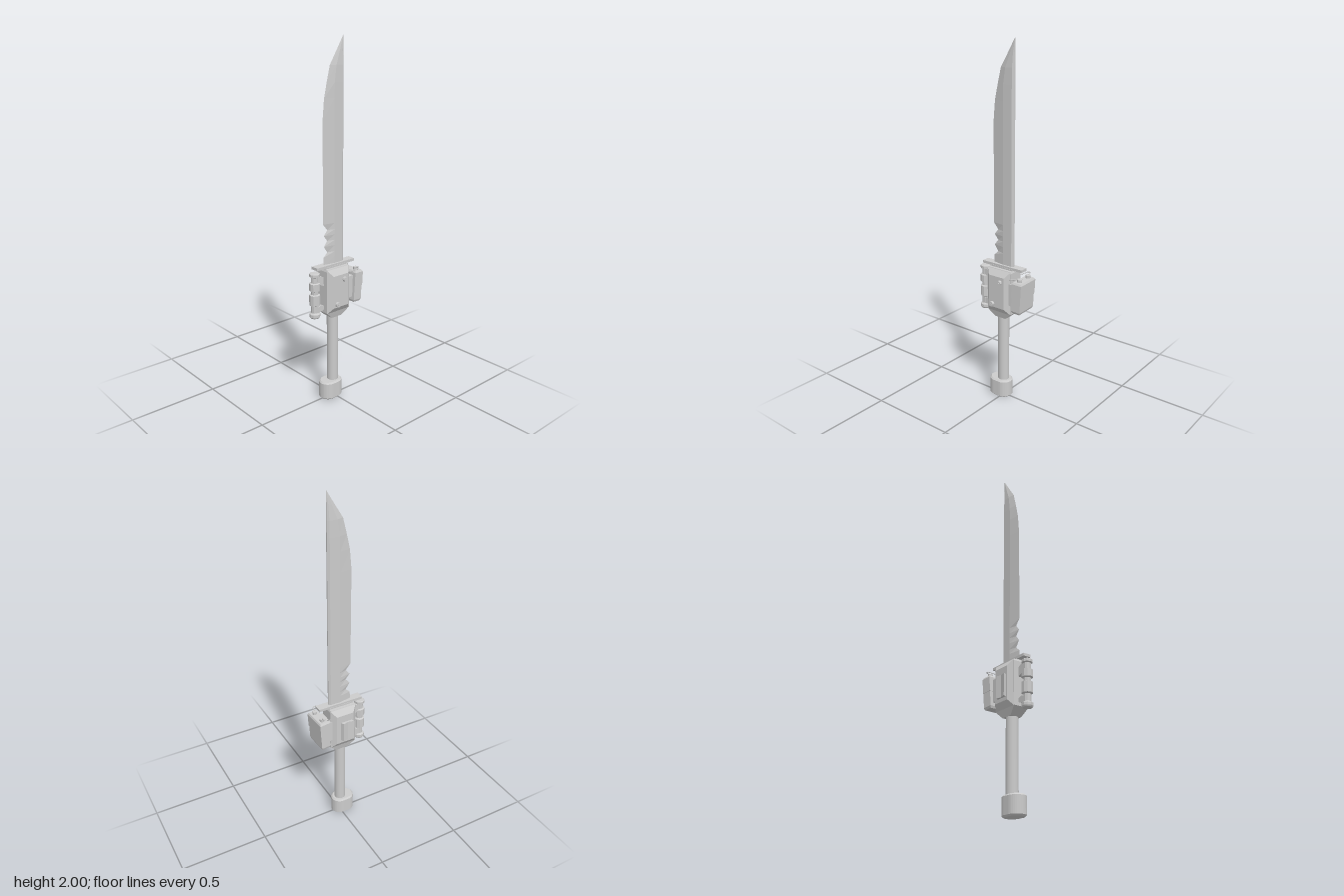
import * as THREE from 'three';

const material = new THREE.MeshStandardMaterial({ color: 0xcccccc, flatShading: true, side: THREE.DoubleSide });

// Solid skinned over equal-length rings that run anticlockwise seen from the last ring
function loft(rings) {
  const n = rings[0].length, index = [];
  for (let i = 0; i < rings.length - 1; i++) {
    for (let j = 0; j < n; j++) {
      const a = i * n + j, b = i * n + (j + 1) % n;
      index.push(a, b, b + n, a, b + n, a + n);
    }
  }
  const last = (rings.length - 1) * n;
  for (let j = 1; j < n - 1; j++) index.push(0, j + 1, j, last, last + j, last + j + 1);
  const indexed = new THREE.BufferGeometry();
  indexed.setAttribute('position', new THREE.Float32BufferAttribute(rings.flat(2), 3));
  indexed.setIndex(index);
  const geometry = indexed.toNonIndexed();
  geometry.computeVertexNormals();
  return geometry;
}

// Rectangular ring at height y with half width w and half depth d
const rect = (y, w, d) => [[-w, y, -d], [-w, y, d], [w, y, d], [w, y, -d]];

// Side profile of [z, y] points given a width across x
function sideProfile(points, width) {
  const shape = new THREE.Shape(points.map(([z, y]) => new THREE.Vector2(z, y)));
  return new THREE.ExtrudeGeometry(shape, { depth: width, bevelEnabled: false })
    .translate(0, 0, -width / 2).rotateY(-Math.PI / 2);
}

export function createModel() {
  const model = new THREE.Group();
  const add = (name, geometry, x = 0, y = 0, z = 0, parent = model) => {
    const mesh = new THREE.Mesh(geometry, material);
    mesh.name = name;
    mesh.position.set(x, y, z);
    parent.add(mesh);
    return mesh;
  };
  const smooth = (mesh) => {
    mesh.material = smoothMaterial;
    return mesh;
  };
  const smoothMaterial = material.clone();
  smoothMaterial.flatShading = false;

  // Blade: [y, cutting edge z, half thickness], notched near the guard, clipped at the tip
  const spine = -0.07;
  const stations = [
    [0.79, 0.069, 0.012], [0.845, 0.066, 0.012], [0.87, 0.04, 0.012], [0.905, 0.064, 0.012],
    [0.935, 0.04, 0.012], [0.965, 0.064, 0.012], [0.995, 0.04, 0.012], [1.03, 0.069, 0.012],
    [1.58, 0.069, 0.012], [1.69, 0.059, 0.012], [1.77, 0.041, 0.012], [1.855, 0.02, 0.011],
    [1.93, -0.027, 0.006], [2, -0.0695, 0.0005],
  ];
  add('blade', loft(stations.map(([y, edge, t]) => {
    const width = edge - spine;
    const ridge = Math.min(-0.002, spine + width * 0.6);
    const back = spine + Math.min(0.011, width * 0.2);
    return [[-t * 0.3, y, spine], [-t, y, back], [-t, y, ridge], [0, y, edge],
      [t, y, ridge], [t, y, back], [t * 0.3, y, spine]];
  })));

  // Guard and its collar
  add('guard', new THREE.BoxGeometry(0.046, 0.015, 0.268), 0, 0.796, -0.003);
  add('guardCollar', new THREE.BoxGeometry(0.05, 0.02, 0.15), 0, 0.783, 0);

  // Grip and racetrack-shaped pommel
  smooth(add('grip', new THREE.CylinderGeometry(0.032, 0.032, 0.44, 20), 0, 0.31, 0.003));
  const track = new THREE.Shape();
  track.absarc(0, 0.002, 0.042, 0, Math.PI, false);
  track.absarc(0, -0.035, 0.042, Math.PI, Math.PI * 2, false);
  add('pommel', new THREE.ExtrudeGeometry(track, {
    depth: 0.089, bevelThickness: 0.008, bevelSize: 0.008, bevelSegments: 1, curveSegments: 8,
  }).rotateX(-Math.PI / 2), 0, 0.008, 0.003);

  // Housing with tapering foot
  add('housing', loft([rect(0.495, 0.033, 0.034), rect(0.535, 0.045, 0.08),
    rect(0.775, 0.045, 0.08), rect(0.785, 0.042, 0.076)]));

  // Bevelled side panels with a raised inner plate
  for (const side of [1, -1]) {
    const panel = add(side > 0 ? 'leftPanel' : 'rightPanel',
      loft([rect(0, 0.125, 0.078), rect(0.024, 0.092, 0.052)]), side * 0.044, 0.658, 0);
    panel.rotation.z = -side * Math.PI / 2;
  }

  // Bolts on the left panel
  for (const [y, z] of [[0.72, -0.025], [0.585, 0.028]]) {
    add('bolt', new THREE.CylinderGeometry(0.014, 0.014, 0.024, 10).rotateZ(Math.PI / 2), 0.071, y, z);
    add('boltCentre', new THREE.CylinderGeometry(0.005, 0.005, 0.006, 6).rotateZ(Math.PI / 2), 0.084, y, z);
  }

  // Waisted plate on the right panel
  const plate = [[-0.064, -0.028], [-0.086, -0.018], [-0.077, 0.012], [-0.086, 0.048], [-0.064, 0.04]];
  add('waistedPlate', loft([0.585, 0.705].map((y) => plate.map(([x, z]) => [x, y, z]).reverse())));

  // Ribbed front tube: [radius, y] steps
  const tube = [[0, 0.515], [0.026, 0.515], [0.03, 0.522], [0.03, 0.538], [0.02, 0.545], [0.02, 0.585],
    [0.03, 0.59], [0.03, 0.648], [0.02, 0.652], [0.02, 0.67], [0.03, 0.674], [0.03, 0.714],
    [0.02, 0.718], [0.02, 0.75], [0.029, 0.754], [0.029, 0.768], [0.024, 0.772], [0, 0.772]];
  add('frontTube', new THREE.LatheGeometry(tube.map(([r, y]) => new THREE.Vector2(r, y)), 10), 0, 0, 0.13);

  // Brackets holding the tube
  add('upperBracket', sideProfile([[0.07, 0.685], [0.1, 0.7], [0.128, 0.72], [0.128, 0.752],
    [0.1, 0.752], [0.07, 0.735]], 0.034));
  add('lowerBracket', sideProfile([[0.07, 0.572], [0.1, 0.582], [0.128, 0.574], [0.128, 0.543],
    [0.1, 0.545], [0.07, 0.558]], 0.034));

  // Arm between housing and rear box
  add('rearArm', new THREE.BoxGeometry(0.1, 0.125, 0.06), 0, 0.655, -0.09);

  // Rear box, slightly tilted, with lid, base and two knobs
  const box = new THREE.Group();
  box.name = 'rearBox';
  box.position.set(-0.003, 0.652, -0.128);
  box.rotation.set(-0.06, 0.05, 0);
  model.add(box);
  add('boxBody', loft([rect(-0.092, 0.062, 0.024), rect(-0.08, 0.067, 0.028),
    rect(0.003, 0.067, 0.028)]), 0, 0, 0, box);
  add('boxLid', loft([rect(0, 0.07, 0.03), rect(0.08, 0.07, 0.03), rect(0.09, 0.064, 0.024)]), 0, 0, 0, box);
  for (const side of [1, -1]) {
    add('knob', new THREE.CylinderGeometry(0.014, 0.014, 0.018, 8), side * 0.04, 0.097, 0, box);
    // Cable from knob round to the housing
    const path = new THREE.CatmullRomCurve3([[0.04, 0.755, -0.13], [0.066, 0.764, -0.132],
      [0.076, 0.758, -0.105], [0.06, 0.748, -0.085], [0.04, 0.74, -0.07]]
      .map(([x, y, z]) => new THREE.Vector3(side * x, y, z)));
    smooth(add('cable', new THREE.TubeGeometry(path, 20, 0.0025, 6)));
  }
  return model;
}
